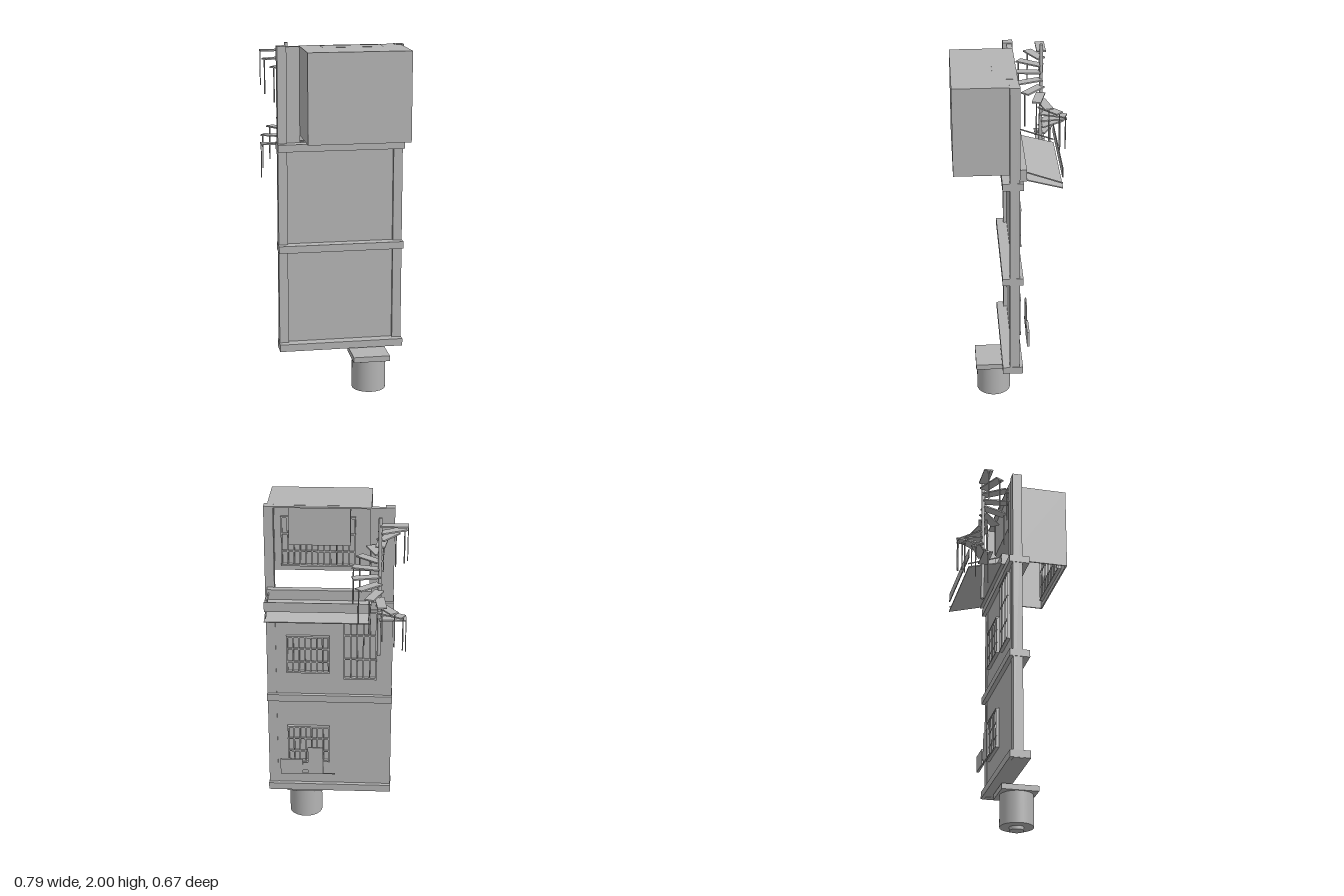
import * as THREE from 'three';

export function createModel() {
  const model = new THREE.Group();
  const grey = new THREE.MeshStandardMaterial({ color: 0xb4b4b4 });
  grey.name = 'plain grey';

  const add = (geometry, name, parent = model) => {
    const mesh = new THREE.Mesh(geometry, grey);
    mesh.name = name;
    parent.add(mesh);
    return mesh;
  };
  // Box given by its limits on each axis
  const block = (name, x0, x1, y0, y1, z0, z1, parent = model) => {
    const mesh = add(new THREE.BoxGeometry(x1 - x0, y1 - y0, z1 - z0), name, parent);
    mesh.position.set((x0 + x1) / 2, (y0 + y1) / 2, (z0 + z1) / 2);
    return mesh;
  };
  const drum = (name, r, y0, y1, x, z, sides, parent = model) => {
    const mesh = add(new THREE.CylinderGeometry(r, r, y1 - y0, sides), name, parent);
    mesh.position.set(x, (y0 + y1) / 2, z);
    return mesh;
  };
  const group = (name) => {
    const g = new THREE.Group();
    g.name = name;
    model.add(g);
    return g;
  };

  // Facade: wall, columns and floor beams
  block('wall', -0.27, 0.34, 0.245, 1.46, -0.02, 0.01);
  block('upperWallStrip', -0.27, -0.195, 1.46, 1.995, -0.02, 0.01);
  block('rightColumn', -0.322, -0.27, 0.24, 2, -0.025, 0.03);
  block('leftColumn', 0.34, 0.392, 0.24, 2, -0.025, 0.03);
  for (const y of [0.242, 0.83, 1.415]) {
    block('floorBeam', -0.325, 0.395, y, y + 0.042, -0.045, 0.07);
  }

  // Top room, open at the back and underneath
  const room = group('topRoom');
  block('roof', -0.195, 0.375, 1.99, 1.998, -0.02, 0.33, room);
  block('frontWall', -0.195, 0.375, 1.5, 1.99, 0.322, 0.33, room);
  block('rightWall', -0.195, -0.187, 1.5, 1.99, -0.02, 0.322, room);
  block('leftWall', 0.367, 0.375, 1.5, 1.99, -0.02, 0.322, room);
  block('hangingCabinet', -0.08, 0.26, 1.77, 1.999, 0.005, 0.11, room);

  // Barred windows: frame, upright bars and cross rails
  const barredWindow = (x0, x1, y0, y1, z, bars) => {
    const g = group('barredWindow');
    const t = 0.01, back = z - 0.02;
    block('frameTop', x0, x1, y1 - t, y1, back, z, g);
    block('frameBottom', x0, x1, y0, y0 + t, back, z, g);
    for (let i = 0; i <= bars; i++) {
      const x = x0 + 0.005 + (i / bars) * (x1 - x0 - 0.01);
      block('bar', x - 0.004, x + 0.004, y0, y1, back + 0.002, z, g);
    }
    for (const f of [0.3, 0.65]) {
      const y = y0 + f * (y1 - y0);
      block('crossRail', x0, x1, y - 0.004, y + 0.004, back + 0.004, z - 0.004, g);
    }
  };
  barredWindow(0.035, 0.28, 1.01, 1.24, -0.02, 7);
  barredWindow(-0.235, -0.045, 0.975, 1.395, -0.02, 5);
  barredWindow(0.035, 0.28, 0.43, 0.665, -0.02, 7);
  barredWindow(-0.1, 0.33, 1.53, 1.83, 0.322, 12);

  // Small boards in front of the lower window
  const boards = group('hangingBoards');
  block('wideBoard', 0.19, 0.32, 0.375, 0.47, -0.087, -0.073, boards);
  block('tallBoard', 0.07, 0.16, 0.375, 0.55, -0.084, -0.076, boards);
  block('boardLink', 0.15, 0.2, 0.4, 0.45, -0.083, -0.077, boards);
  block('boardRail', 0, 0.3, 0.374, 0.379, -0.083, -0.077, boards);

  // Sloping awning with kerb, edge board and stay rods
  const awning = group('awning');
  block('kerb', -0.2, 0.38, 1.462, 1.53, -0.062, -0.02, awning);
  block('edgeBoard', -0.2, 0.378, 1.48, 1.535, -0.255, -0.25, awning);
  const slope = (name, x0, x1, ya, yb, thick) => {
    const dz = 0.195, dy = ya - yb;
    const mesh = add(new THREE.BoxGeometry(x1 - x0, thick, Math.hypot(dz, dy)), name, awning);
    mesh.position.set((x0 + x1) / 2, (ya + yb) / 2, -0.157);
    mesh.rotation.x = -Math.atan2(dy, dz);
  };
  slope('awningPlate', -0.2, 0.38, 1.47, 1.418, 0.006);
  for (const x of [-0.19, 0.37]) slope('stayRod', x - 0.003, x + 0.003, 1.512, 1.443, 0.006);

  // Spiral stair: pole, treads and a post hanging from each tread
  const stair = group('spiralStair');
  stair.position.set(-0.245, 0, -0.183);
  drum('pole', 0.01, 1.2, 1.998, 0, 0, 12, stair);
  for (let i = 0; i < 14; i++) {
    const step = new THREE.Group();
    step.name = 'stairStep';
    step.position.y = 1.96 - i * 0.0412;
    step.rotation.y = Math.PI + (i * Math.PI * 2) / 13;
    block('tread', 0, 0.15, -0.008, 0, -0.026, 0.026, step);
    block('post', 0.145, 0.15, -0.2, -0.008, -0.003, 0.003, step);
    stair.add(step);
  }

  // Drum below the facade
  const lamp = group('drumBelow');
  block('capPlate', 0.08, 0.29, 0.205, 0.237, 0.005, 0.22, lamp);
  drum('drumBody', 0.097, 0.02, 0.205, 0.185, 0.115, 40, lamp);
  drum('drumFoot', 0.042, 0, 0.02, 0.185, 0.115, 32, lamp);

  return model;
}
